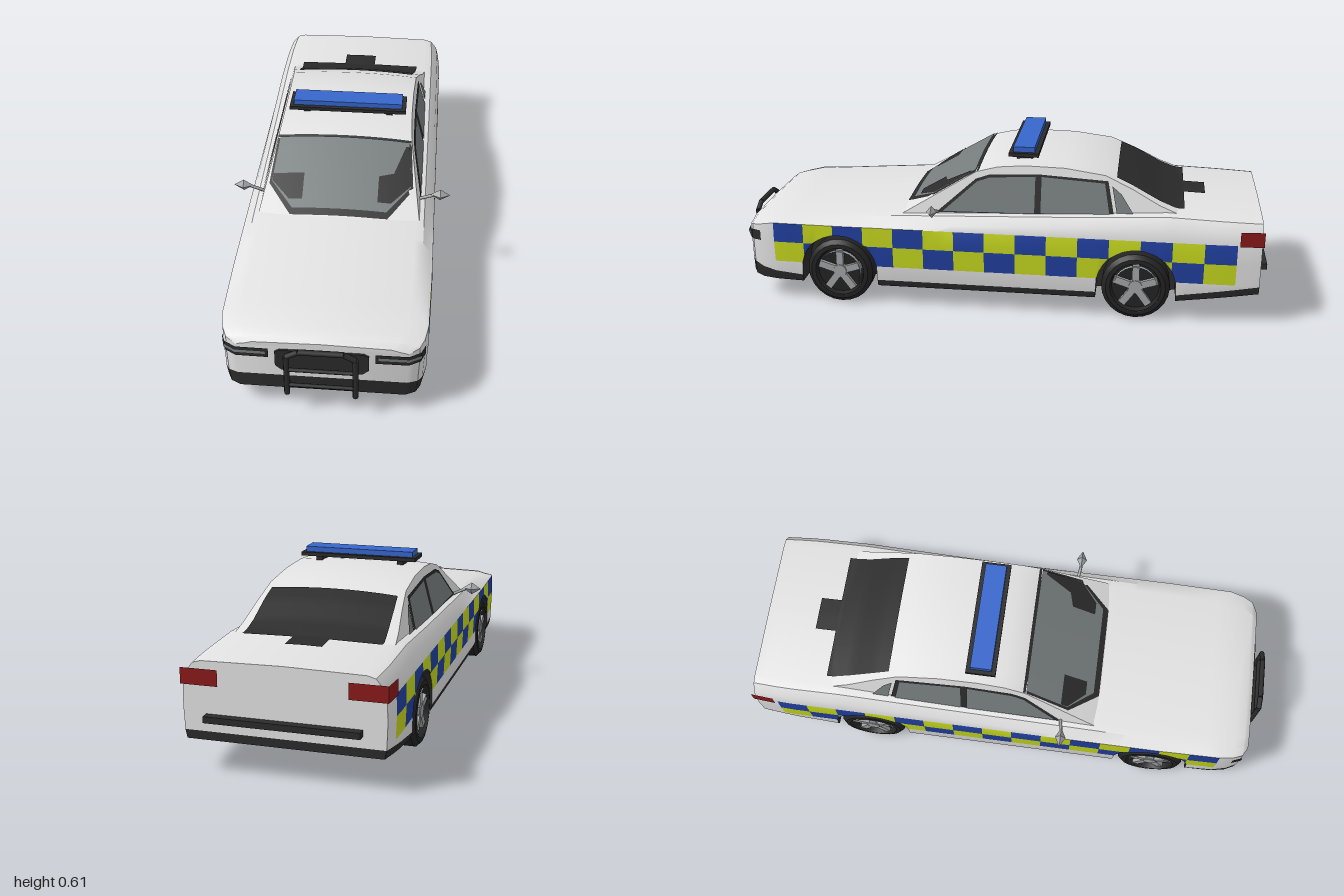
import * as THREE from 'three';
import { toCreasedNormals } from 'three/addons/utils/BufferGeometryUtils.js';

const paint = (name, color) => { const m = new THREE.MeshStandardMaterial({ color }); m.name = name; return m; };
const white = paint('white paint', 0xe2e2e2), black = paint('black trim', 0x2b2b2b), blue = paint('blue check', 0x2140a0),
  yellow = paint('yellow check', 0xc6d81e), beacon = paint('beacon blue', 0x3766cc), red = paint('red lamp', 0x8a1a1a),
  silver = paint('silver metal', 0xa4a6a8), glass = paint('grey glass', 0x767c7c), rubber = paint('tyre rubber', 0x242424);

// Linear interpolation in a table of [z, value], z descending
function table(rows) {
  return z => {
    if (z >= rows[0][0]) return rows[0][1];
    for (let i = 1; i < rows.length; i++) {
      const [z0, v0] = rows[i - 1], [z1, v1] = rows[i];
      if (z >= z1) return v0 + (v1 - v0) * (z0 - z) / (z0 - z1);
    }
    return rows[rows.length - 1][1];
  };
}
const beltY = table([[0.955, 0.295], [0.935, 0.308], [0.845, 0.326], [0.36, 0.36], [-0.3, 0.385], [-0.63, 0.402], [-0.97, 0.39]]);
const halfW = table([[0.955, 0.285], [0.935, 0.32], [0.9, 0.336], [0.845, 0.347], [0.6, 0.351], [-0.85, 0.35], [-0.97, 0.342]]);
const floorY = table([[0.955, 0.09], [0.9, 0.08], [0.7, 0.075], [-0.65, 0.075], [-0.97, 0.12]]);
const sillY = table([[0.955, 0.148], [0.88, 0.118], [0.7, 0.1], [-0.65, 0.1], [-0.97, 0.15]]);
const ROOF = [[0.36, 0.365], [0.08, 0.53], [0, 0.55], [-0.1, 0.558], [-0.25, 0.555], [-0.4, 0.535], [-0.5, 0.49], [-0.6, 0.437], [-0.67, 0.41], [-0.72, 0.39]];
const roofY = table(ROOF);
const cabinX = y => 0.295 - 0.045 * (y - 0.37) / 0.17;
const topY = (x, z) => Math.max(roofY(z) - 0.2 * x * x, beltY(z) + 0.005 * (1 - Math.abs(x) / 0.285));

const WHEELS = [0.594, -0.524], AXLE = 0.126, ARCH = 0.147;
function archY(z) {
  for (const c of WHEELS) if (Math.abs(z - c) < ARCH - 1e-6) return AXLE + Math.sqrt(ARCH * ARCH - (z - c) ** 2);
  return 0;
}

// Collects quads by material and turns them into one mesh
function panels() {
  const parts = new Map();
  const tri = (m, ...p) => {
    const [a, b, c] = p.map(q => new THREE.Vector3(...q));
    if (b.clone().sub(a).cross(c.clone().sub(a)).length() < 1e-8) return;
    if (!parts.has(m)) parts.set(m, []);
    parts.get(m).push(...p.flat());
  };
  const quad = (m, a, b, c, d) => { tri(m, a, b, c); tri(m, a, c, d); };
  const flip = ([x, y, z]) => [-x, y, z];
  const pair = (m, a, b, c, d) => { quad(m, a, b, c, d); quad(m, flip(d), flip(c), flip(b), flip(a)); };
  const build = (name, crease = 0.55) => {
    const g = new THREE.BufferGeometry(), all = [], mats = [...parts.keys()];
    mats.forEach((m, i) => { const p = parts.get(m); g.addGroup(all.length / 3, p.length / 3, i); for (const v of p) all.push(v); });
    g.setAttribute('position', new THREE.Float32BufferAttribute(all, 3));
    const mesh = new THREE.Mesh(toCreasedNormals(g, crease), mats);
    mesh.name = name;
    return mesh;
  };
  return { quad, pair, flip, build };
}

// Lower body: half sections from the floor centre round to the top centre
const CHECK = 0.845, COL = 0.1152;
function section(z) {
  const w = halfW(z), t = beltY(z), yb = floorY(z), ya = Math.max(yb, archY(z)), xi = Math.min(0.24, w * 0.8);
  const s = t - THREE.MathUtils.clamp(t - 0.317, 0.012, 0.04), up = y => Math.max(y, ya);
  return [[0, yb], [xi, yb], [xi, ya], [w * 0.98, ya], [w, up(sillY(z))], [w, up(Math.max(0.155, sillY(z) + 0.003))], [w * 1.01, up(0.235)],
    [w * 1.005, up(Math.min(0.31, s - 0.004))], [w * 0.975, s], [w * 0.9, t - 0.008], [w * 0.815, t], [0, t + 0.005]].map(([x, y]) => [x, y, z]);
}
function lowerBody() {
  const zs = new Set([0.955, 0.945, 0.935, 0.9, 0.7, 0.36, -0.3, -0.63, -0.65, -0.93, -0.97].map(z => z.toFixed(4)));
  for (let k = 0; k <= 30; k++) zs.add((CHECK - k * COL / 2).toFixed(4));
  for (const c of WHEELS) for (let k = 0; k <= 16; k++) zs.add((c + ARCH * Math.cos(k * Math.PI / 16)).toFixed(4));
  const rows = [...zs].map(Number).sort((a, b) => b - a).map(section), body = panels();
  const colour = (i, z) => {
    if (i < 4) return black;
    const k = Math.floor((CHECK - z) / COL);
    return (i === 5 || i === 6) && k >= 0 && k < 15 ? ((k + i) % 2 ? yellow : blue) : white;
  };
  for (let s = 0; s + 1 < rows.length; s++) for (let i = 0; i < 11; i++) {
    const a = rows[s], b = rows[s + 1];
    body.pair(colour(i, (a[0][2] + b[0][2]) / 2), a[i], b[i], b[i + 1], a[i + 1]);
  }
  const f = rows[0], r = rows[rows.length - 1], m = body.flip;
  for (let i = 0; i < 11; i++) {
    body.quad(i < 4 ? black : white, f[i], f[i + 1], m(f[i + 1]), m(f[i]));
    body.quad(i < 4 ? black : white, m(r[i]), m(r[i + 1]), r[i + 1], r[i]);
  }
  return body.build('lowerBody');
}

function cabin() {
  const shell = panels();
  const rows = ROOF.map(([z]) => {
    const base = beltY(z) - 0.012, e = Math.max(roofY(z) - 0.0125, base), x = cabinX(e);
    const pts = [[cabinX(base), base, z]];
    for (let k = 4; k >= 0; k--) pts.push([x * k / 4, Math.max(base, roofY(z) - 0.0125 * (k / 4) ** 2), z]);
    return pts;
  });
  for (let s = 0; s + 1 < rows.length; s++) for (let i = 0; i < 5; i++)
    shell.pair(white, rows[s][i], rows[s + 1][i], rows[s + 1][i + 1], rows[s][i + 1]);
  return shell.build('cabin');
}

// Thin plate lying on the cabin surface; rows are [z, x0, x1] from front to back
function plate(name, mat, lift, rows) {
  const p = panels(), N = 8, M = 4;
  const at = (z, x) => [x, topY(x, z) + lift, z];
  for (let r = 0; r + 1 < rows.length; r++) for (let j = 0; j < M; j++) {
    const row = t => rows[r].map((v, i) => v + (rows[r + 1][i] - v) * t);
    const A = row(j / M), B = row((j + 1) / M), px = (R, k) => at(R[0], R[1] + (R[2] - R[1]) * k / N);
    for (let k = 0; k < N; k++) p.quad(mat, px(A, k), px(A, k + 1), px(B, k + 1), px(B, k));
  }
  return p.build(name);
}

// Side window from [z, y] corners, on the left flank
function sideWindow(name, mat, lift, pts) {
  const g = new THREE.ShapeGeometry(new THREE.Shape(pts.map(([z, y]) => new THREE.Vector2(-z, y)))), p = g.attributes.position;
  for (let i = 0; i < p.count; i++) p.setXYZ(i, cabinX(p.getY(i)) + lift, p.getY(i), -p.getX(i));
  g.computeVertexNormals();
  const m = new THREE.Mesh(g, mat);
  m.name = name;
  return m;
}

// Upright strip along [x, z] points, on both flanks
function lamps(name, mat, path, y0, y1) {
  const p = panels();
  for (let i = 0; i + 1 < path.length; i++) {
    const [[x0, z0], [x1, z1]] = [path[i], path[i + 1]];
    p.pair(mat, [x0, y0, z0], [x1, y0, z1], [x1, y1, z1], [x0, y1, z0]);
  }
  return p.build(name);
}

function box(name, mat, w, h, d, x, y, z) {
  const m = new THREE.Mesh(new THREE.BoxGeometry(w, h, d), mat);
  m.position.set(x, y, z);
  m.name = name;
  return m;
}
function bar(name, mat, a, b, r) {
  const A = new THREE.Vector3(...a), B = new THREE.Vector3(...b), d = B.clone().sub(A);
  const m = new THREE.Mesh(new THREE.CylinderGeometry(r, r, d.length(), 8), mat);
  m.position.copy(A).add(B).multiplyScalar(0.5);
  m.quaternion.setFromUnitVectors(new THREE.Vector3(0, 1, 0), d.normalize());
  m.name = name;
  return m;
}

// Wheel with its outer face towards +x
function wheel() {
  const g = new THREE.Group();
  g.name = 'wheel';
  const lathe = (name, mat, pts) => {
    const geo = new THREE.LatheGeometry(pts.map(p => new THREE.Vector2(...p)), 24).rotateZ(-Math.PI / 2);
    const m = new THREE.Mesh(toCreasedNormals(geo, 0.6), mat);
    m.name = name;
    g.add(m);
  };
  lathe('tyre', rubber, [[0, -0.045], [0.1, -0.045], [0.126, -0.03], [0.126, 0.03], [0.11, 0.045], [0.094, 0.046], [0.088, 0.025], [0, 0.025]]);
  lathe('rim', silver, [[0.08, 0.026], [0.08, 0.044], [0.096, 0.047], [0.096, 0.04]]);
  lathe('hub', silver, [[0.028, 0.024], [0.025, 0.042], [0, 0.042]]);
  for (let k = 0; k < 5; k++) {
    const s = box('spoke', silver, 0.016, 0.075, 0.027, 0.031, 0.047, 0), arm = new THREE.Group();
    arm.name = 'spokeArm';
    arm.rotation.x = k * Math.PI * 0.4;
    arm.add(s);
    g.add(arm);
  }
  return g;
}

export function createModel() {
  const car = new THREE.Group();
  car.name = 'patrolCar';
  car.add(lowerBody(), cabin());

  // Front and rear glass
  car.add(plate('windscreenSeal', black, 0.003, [[0.357, -0.18, 0.18], [0.245, -0.27, 0.27], [0.07, -0.253, 0.253]]));
  car.add(plate('windscreen', glass, 0.006, [[0.335, -0.175, 0.175], [0.24, -0.26, 0.26], [0.082, -0.246, 0.246]]));
  car.add(plate('windscreenPatch', black, 0.008, [[0.305, -0.19, -0.14], [0.24, -0.258, -0.14], [0.215, -0.257, -0.14]]));
  car.add(plate('windscreenPatch', black, 0.008, [[0.305, 0.14, 0.19], [0.24, 0.14, 0.258], [0.215, 0.14, 0.257], [0.2, 0.195, 0.256], [0.1, 0.235, 0.248]]));
  car.add(plate('rearWindow', black, 0.006, [[-0.44, -0.235, 0.235], [-0.5, -0.24, 0.24], [-0.6, -0.245, 0.245], [-0.67, -0.25, 0.25], [-0.69, -0.25, 0.25]]));
  car.add(plate('rearTab', black, 0.006, [[-0.69, -0.065, 0.065], [-0.77, -0.065, 0.065]]));

  // Lamps and nose
  const head = [[0.178, 0.962], [0.288, 0.961], [0.327, 0.938], [0.342, 0.9]], lens = [[0.186, 0.966], [0.29, 0.965], [0.331, 0.941]];
  car.add(lamps('headlightFrame', black, head, 0.235, 0.274), lamps('headlightLens', glass, lens, 0.25, 0.266));
  car.add(lamps('tailLight', red, [[0.357, -0.89], [0.35, -0.976], [0.22, -0.976]], 0.308, 0.364));
  const grilleShape = new THREE.Shape([[-0.135, 0.18], [0.135, 0.18], [0.157, 0.2], [0.157, 0.26], [0.14, 0.27], [-0.14, 0.27], [-0.157, 0.26], [-0.157, 0.2]].map(p => new THREE.Vector2(...p)));
  const grille = new THREE.Mesh(new THREE.ExtrudeGeometry(grilleShape, { depth: 0.009, bevelEnabled: false }), black);
  grille.position.z = 0.953;
  grille.name = 'grille';
  car.add(grille, box('rearBumperStrip', black, 0.53, 0.022, 0.032, 0, 0.2, -0.984));

  // Push bar
  const hoop = [[-0.115, 0.1], [-0.115, 0.27], [-0.075, 0.293], [0.075, 0.293], [0.115, 0.27], [0.115, 0.1]];
  for (let i = 0; i < 5; i++) car.add(bar('pushBar', black, [...hoop[i], 0.989], [...hoop[i + 1], 0.989], 0.01));
  for (const y of [0.14, 0.21]) car.add(bar('pushBarRail', black, [-0.115, y, 0.989], [0.115, y, 0.989], 0.007));

  // Roof light bar
  car.add(box('lightBarBase', black, 0.45, 0.014, 0.112, 0, 0.578, -0.093), box('lightBar', beacon, 0.42, 0.02, 0.08, 0, 0.595, -0.093));

  // Parts repeated on each flank
  for (const side of [1, -1]) {
    const flank = new THREE.Group();
    flank.name = side > 0 ? 'leftFlank' : 'rightFlank';
    flank.scale.x = side;
    flank.add(sideWindow('windowFrame', black, 0.003, [[0.225, 0.367], [0.08, 0.493], [0.03, 0.51], [-0.15, 0.518], [-0.41, 0.504], [-0.435, 0.383]]));
    flank.add(sideWindow('frontDoorWindow', glass, 0.006, [[0.2, 0.373], [0.075, 0.484], [0.03, 0.5], [-0.142, 0.51], [-0.142, 0.378]]));
    flank.add(sideWindow('rearDoorWindow', glass, 0.006, [[-0.165, 0.379], [-0.165, 0.51], [-0.398, 0.496], [-0.418, 0.388]]));
    flank.add(sideWindow('quarterWindow', glass, 0.006, [[-0.445, 0.392], [-0.425, 0.488], [-0.46, 0.46], [-0.505, 0.394]]));
    const mirror = new THREE.Mesh(new THREE.OctahedronGeometry(1), silver);
    mirror.scale.set(0.037, 0.024, 0.02);
    mirror.position.set(0.371, 0.393, 0.228);
    mirror.name = 'doorMirror';
    flank.add(mirror, bar('mirrorArm', silver, [0.29, 0.365, 0.22], [0.345, 0.39, 0.228], 0.006));
    flank.add(box('lightBarFoot', black, 0.025, 0.03, 0.06, 0.16, 0.56, -0.093));
    flank.add(bar('pushBarBracket', black, [0.115, 0.12, 0.93], [0.115, 0.12, 0.989], 0.008));
    for (const z of WHEELS) {
      const w = wheel();
      w.position.set(0.306, AXLE, z);
      flank.add(w);
    }
    car.add(flank);
  }
  return car;
}
